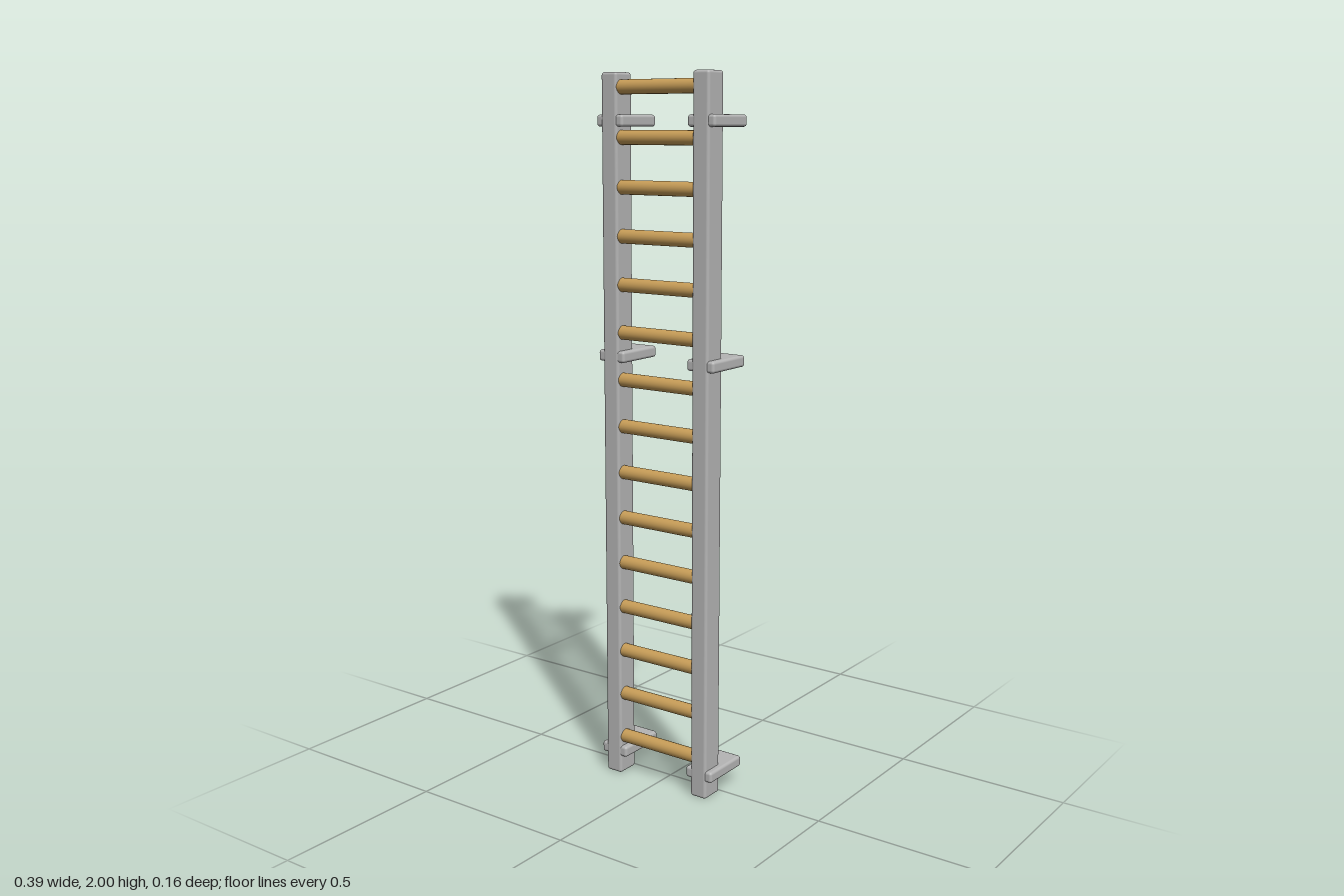
import * as THREE from 'three';
import { RoundedBoxGeometry } from 'three/addons/geometries/RoundedBoxGeometry.js';

const RUNGS = 15;
const BRACKET_HEIGHTS = [0.068, 1.234, 1.873];

export function createModel() {
  const model = new THREE.Group();
  model.name = 'wallLadder';

  const metal = new THREE.MeshStandardMaterial({ color: 0xb4b4b4 });
  metal.name = 'grey metal';
  const wood = new THREE.MeshStandardMaterial({ color: 0xc69c57 });
  wood.name = 'light wood';

  const add = (name, geometry, material, x, y, z) => {
    const mesh = new THREE.Mesh(geometry, material);
    mesh.name = name;
    mesh.position.set(x, y, z);
    model.add(mesh);
    return mesh;
  };

  // Two upright rails, each with wall brackets reaching backwards
  const railGeometry = new RoundedBoxGeometry(0.052, 2, 0.07, 3, 0.008);
  const bracketGeometry = new RoundedBoxGeometry(0.088, 0.032, 0.153, 3, 0.008);
  for (const [side, s] of [['left', 1], ['right', -1]]) {
    add(`${side}Rail`, railGeometry, metal, s * 0.15, 1, 0.042);
    BRACKET_HEIGHTS.forEach((y, i) =>
      add(`${side}Bracket${i + 1}`, bracketGeometry, metal, s * 0.15, y, -0.0015));
  }

  // Round rungs, evenly spaced, with their ends set into the rails
  const rungGeometry = new THREE.CylinderGeometry(0.0195, 0.0195, 0.28, 24);
  rungGeometry.rotateZ(Math.PI / 2);
  for (let i = 0; i < RUNGS; i++) {
    const y = THREE.MathUtils.lerp(0.112, 1.961, i / (RUNGS - 1));
    add(`rung${i + 1}`, rungGeometry, wood, 0, y, 0.0545);
  }

  return model;
}
